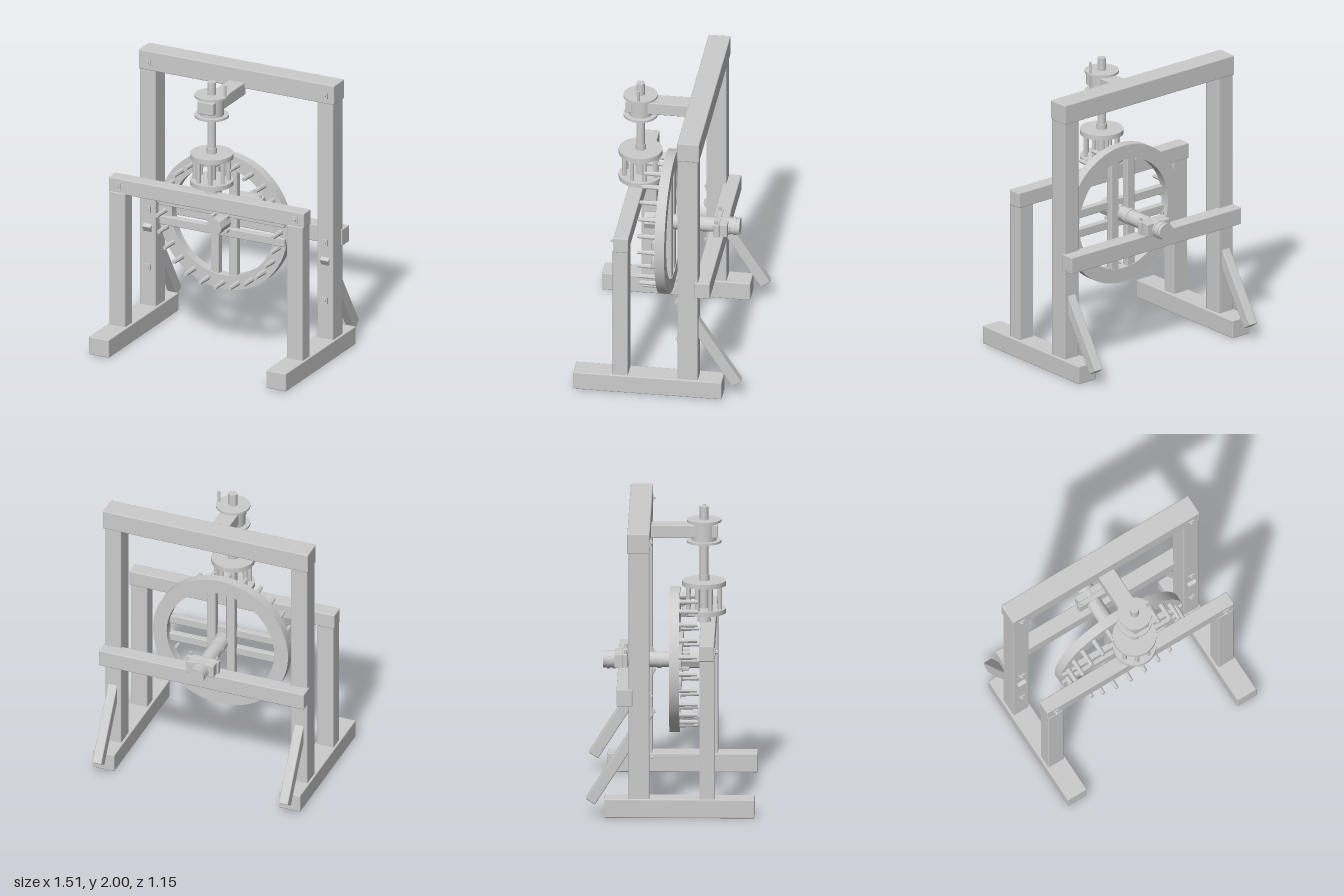
import * as THREE from 'three';
import { RoundedBoxGeometry } from 'three/addons/geometries/RoundedBoxGeometry.js';
import { toCreasedNormals } from 'three/addons/utils/BufferGeometryUtils.js';

export function createModel() {
  const model = new THREE.Group();
  model.name = 'gearMachine';
  const wood = new THREE.MeshStandardMaterial({ color: 0xcccccc });
  wood.name = 'paleGrey';

  const group = (name, parent = model) => {
    const g = new THREE.Group();
    g.name = name;
    parent.add(g);
    return g;
  };
  const add = (name, geometry, parent = model) => {
    const mesh = new THREE.Mesh(geometry, wood);
    mesh.name = name;
    parent.add(mesh);
    return mesh;
  };
  // Softly bevelled beam given by its [min, max] extents
  const beam = (name, [x0, x1], [y0, y1], [z0, z1], parent = model) => {
    const s = [x1 - x0, y1 - y0, z1 - z0];
    const m = add(name, new RoundedBoxGeometry(...s, 1, Math.min(0.007, Math.min(...s) / 5)), parent);
    m.position.set((x0 + x1) / 2, (y0 + y1) / 2, (z0 + z1) / 2);
    return m;
  };
  // Upright round or faceted part between two heights
  const round = (name, r, y0, y1, parent, sides = 32, rTop = r) => {
    const g = toCreasedNormals(new THREE.CylinderGeometry(rTop, r, y1 - y0, sides), 0.6);
    const m = add(name, g, parent);
    m.position.y = (y0 + y1) / 2;
    return m;
  };
  // Square washer with a hexagonal nut, facing +z
  const bolt = (x, y, z, plate, out) => {
    const g = group('bolt');
    g.position.set(x, y, z);
    if (plate) add('washer', new THREE.BoxGeometry(plate, plate, 0.012), g);
    const nut = add('nut', toCreasedNormals(new THREE.CylinderGeometry(0.013, 0.013, out, 6), 0.5), g);
    nut.rotation.x = Math.PI / 2;
    nut.position.z = out / 2;
  };

  // Frame sides: sill, posts, brace and bolts
  for (const s of [-1, 1]) {
    const x = (a, b) => (s > 0 ? [a, b] : [-b, -a]);
    beam('sill', x(0.603, 0.757), [0, 0.13], [-0.445, 0.575]);
    beam('rearPost', x(0.62, 0.742), [0.12, 1.86], [-0.28, -0.14]);
    beam('frontPost', x(0.62, 0.742), [0.12, 1.1], [0.2, 0.305]);
    const brace = beam('brace', [-0.034, 0.034], [-0.37, 0.37], [-0.038, 0.038]);
    brace.position.set(s * 0.682, 0.415, -0.344);
    brace.rotation.x = Math.atan2(0.396, 0.624);
    bolt(s * 0.68, 1.9, -0.136, 0.045, 0.016);
    bolt(s * 0.68, 0.83, -0.136, 0.045, 0.016);
    bolt(s * 0.68, 0.41, -0.136, 0.045, 0.016);
    bolt(s * 0.68, 1.145, 0.301, 0.048, 0.025);
  }

  // Cross beams and the arm that carries the spindle
  beam('topBeam', [-0.75, 0.75], [1.84, 1.98], [-0.29, -0.138]);
  beam('frontBeam', [-0.75, 0.75], [1.09, 1.2], [0.197, 0.3]);
  beam('rearCrossBeam', [-0.75, 0.75], [0.775, 0.895], [-0.363, -0.255]);
  beam('spindleArm', [-0.062, 0.062], [1.79, 1.88], [-0.16, 0.315]);

  // Face wheel, centred on its axle
  const wheel = group('faceWheel');
  wheel.position.y = 0.93;
  const ring = new THREE.Shape().absarc(0, 0, 0.494, 0, Math.PI * 2);
  ring.holes.push(new THREE.Path().absarc(0, 0, 0.393, 0, Math.PI * 2, true));
  const rimGeometry = new THREE.ExtrudeGeometry(ring, { depth: 0.068, bevelEnabled: false, curveSegments: 48 });
  add('rim', toCreasedNormals(rimGeometry, 0.5), wheel).position.z = -0.012;
  for (const s of [-1, 1]) {
    const c = s * 0.07;
    beam('verticalSpoke', [c - 0.032, c + 0.032], [-0.42, 0.42], [-0.008, 0.045], wheel);
    beam('horizontalSpoke', [-0.482, 0.482], [c - 0.031, c + 0.031], [0.03, 0.075], wheel);
  }
  // Tapered teeth around the rim
  const toothCount = 24;
  for (let i = 0; i < toothCount; i++) {
    const a = (i / toothCount) * Math.PI * 2;
    const tooth = round('tooth', 0.019, 0, 0.135, wheel, 8, 0.014);
    tooth.rotation.x = Math.PI / 2;
    tooth.position.set(Math.cos(a) * 0.444, Math.sin(a) * 0.444, 0.1125);
  }

  // Axle with hub wedges and bands, lying along z
  const axle = group('axle');
  axle.position.y = 0.93;
  axle.rotation.x = Math.PI / 2;
  round('axleHead', 0.06, 0.0, 0.19, axle, 8);
  round('axleBar', 0.053, -0.38, 0.01, axle, 16);
  round('axleEnd', 0.058, -0.465, -0.3, axle, 24);
  for (const y of [-0.39, -0.43]) round('band', 0.062, y - 0.01, y + 0.01, axle, 24);
  round('band', 0.058, -0.1, -0.07, axle, 24);
  for (const sx of [-1, 1]) for (const sy of [-1, 1]) {
    const w = beam('hubWedge', [-0.012, 0.012], [0.03, 0.12], [-0.012, 0.012], axle);
    w.position.x = sx * 0.05;
    w.position.z = sy * 0.05;
  }

  // Bearing on the rear beam
  beam('bearingBlock', [-0.1, 0.1], [0.89, 0.985], [-0.388, -0.325]);
  beam('bearingStrap', [-0.115, 0.115], [0.89, 0.99], [-0.335, -0.297]);
  for (const s of [-1, 1]) {
    const stud = round('bearingStud', 0.01, 0.98, 1.015, model, 8);
    stud.position.x = s * 0.095;
    stud.position.z = -0.312;
  }

  // Spindle with lantern pinion and spool
  const spindle = group('spindle');
  spindle.position.z = 0.22;
  round('shaft', 0.03, 1.22, 2.0, spindle, 20);
  round('footBearing', 0.047, 1.2, 1.245, spindle, 16, 0.042);
  round('collar', 0.036, 1.485, 1.525, spindle, 20);
  round('lowerDisc', 0.149, 1.26, 1.292, spindle, 48);
  round('upperDisc', 0.149, 1.452, 1.485, spindle, 48);
  for (let i = 0; i < 8; i++) {
    const a = ((i + 0.5) / 8) * Math.PI * 2;
    const stave = round('stave', 0.015, 1.28, 1.465, spindle, 10);
    stave.position.x = Math.cos(a) * 0.115;
    stave.position.z = Math.sin(a) * 0.115;
  }
  round('spoolBody', 0.084, 1.755, 1.9, spindle, 32);
  round('lowerFlange', 0.117, 1.75, 1.766, spindle, 40);
  round('upperFlange', 0.117, 1.895, 1.911, spindle, 40);
  round('crankPeg', 0.01, 1.9, 1.99, spindle, 10).position.x = 0.102;

  return model;
}
